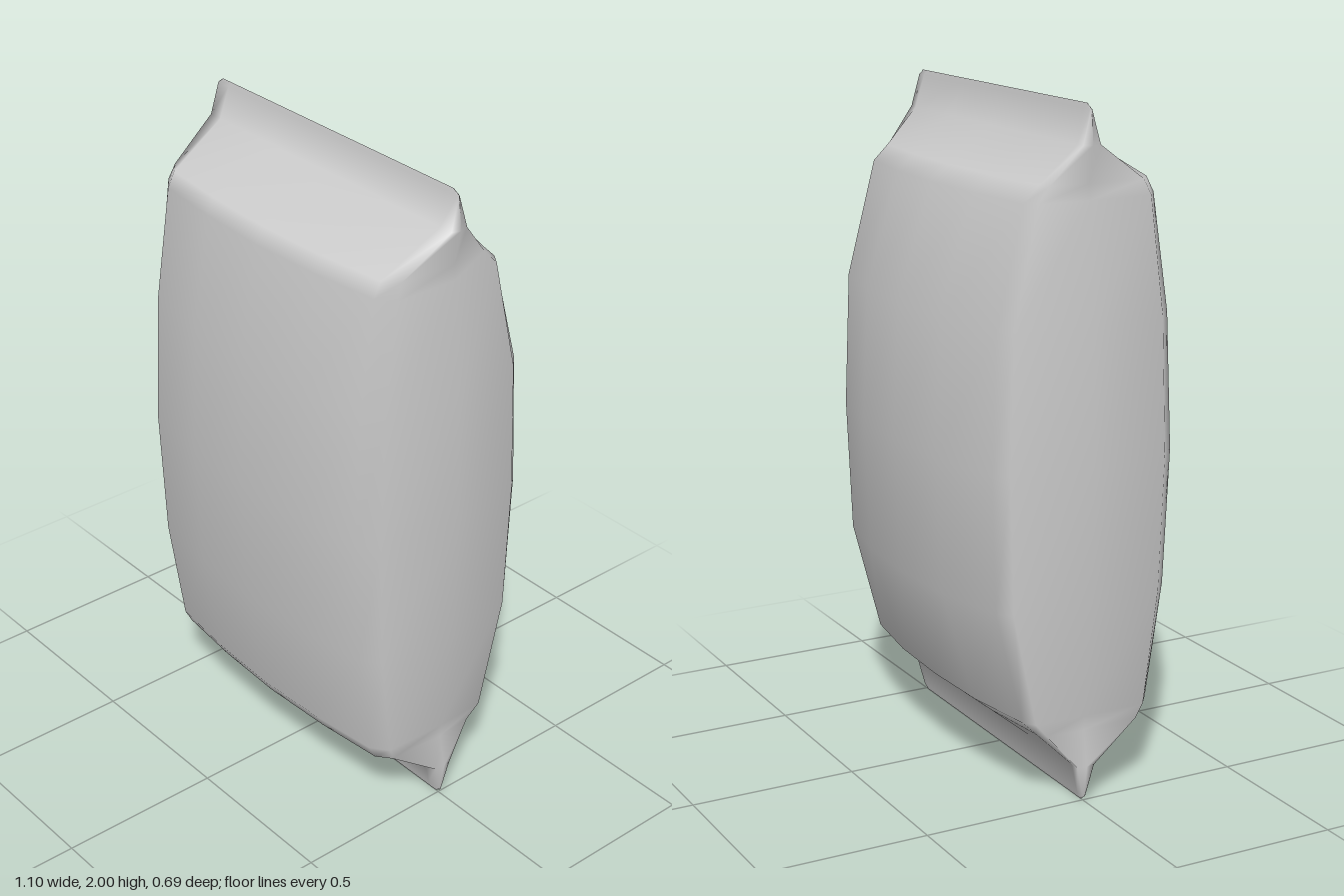
import * as THREE from 'three';

// Lower half of the bag, mirrored upward:
// [y, side x, outer corner x, inner corner x, front z, back z, corner rounding 0..1]
const HALF = [
  [0.000, 0.490, 0.487, 0.45, 0.000, 0.000, 0],
  [0.015, 0.510, 0.507, 0.46, 0.004, 0.004, 0],
  [0.110, 0.522, 0.515, 0.47, 0.030, 0.030, 0.3],
  [0.215, 0.501, 0.492, 0.45, 0.245, 0.165, 1],
  [0.260, 0.506, 0.500, 0.45, 0.272, 0.222, 1],
  [0.600, 0.540, 0.506, 0.455, 0.328, 0.330, 1],
  [1.000, 0.548, 0.509, 0.46, 0.346, 0.348, 1],
];

// One closed cross-section, running from the left side over the front to the back
function ring([y, side, outer, inner, front, back, round]) {
  const z = (depth, k) => depth * (1 - (1 - k) * round);
  const f = [[outer, z(front, 0.73)], [inner, z(front, 0.87)], [0.235, z(front, 0.96)]];
  const b = [[outer, -z(back, 0.70)], [inner + 0.015, -z(back, 0.81)], [0.235, -z(back, 0.96)]];
  const flip = (list) => list.map(([x, d]) => [-x, d]).reverse();
  return [[side, 0], ...f, [0, front], ...flip(f), [-side, 0],
    ...flip(b).reverse(), [0, -back], ...b.slice().reverse()]
    .map(([x, d]) => [x, y, d]);
}

export function createModel() {
  const group = new THREE.Group();
  group.name = 'bag';

  const upper = HALF.slice(0, -1).reverse().map(([y, ...rest]) => [2 - y, ...rest]);
  const rings = [...HALF, ...upper].map(ring);
  const n = rings[0].length;

  // Skin the cross-sections from the bottom seam to the top seam
  const index = [];
  for (let j = 0; j < rings.length - 1; j++) {
    for (let i = 0; i < n; i++) {
      const a = j * n + i, b = j * n + (i + 1) % n;
      index.push(a, a + n, b, b, a + n, b + n);
    }
  }
  const geometry = new THREE.BufferGeometry();
  geometry.setAttribute('position', new THREE.Float32BufferAttribute(rings.flat(2), 3));
  geometry.setIndex(index);
  geometry.computeVertexNormals();

  const material = new THREE.MeshStandardMaterial({ color: 0xcccccc, side: THREE.DoubleSide });
  const pouch = new THREE.Mesh(geometry, material);
  pouch.name = 'sealedPouch';
  group.add(pouch);
  return group;
}
